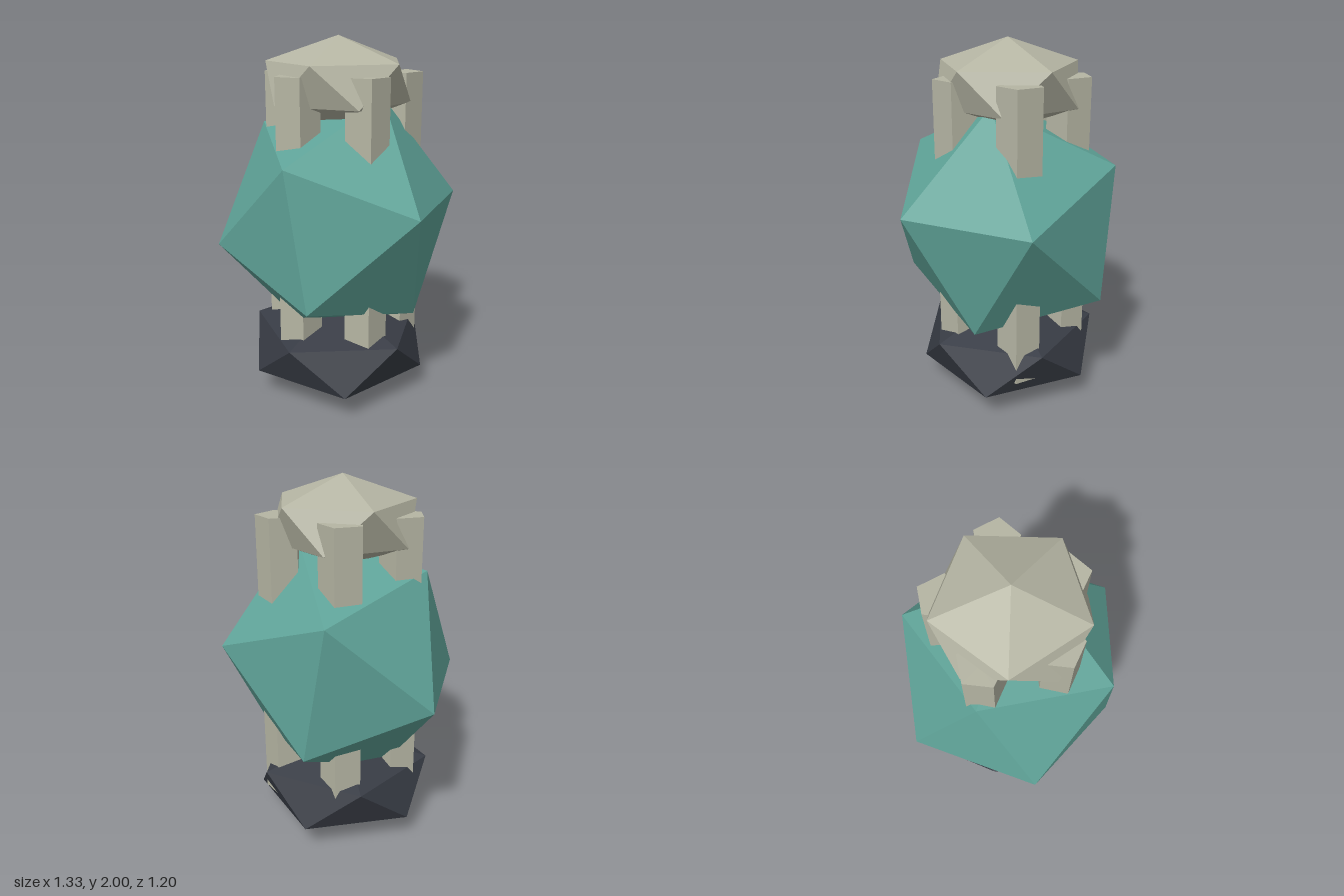
import * as THREE from 'three';
import { ConvexGeometry } from 'three/addons/geometries/ConvexGeometry.js';

const material = (name, color) => {
  const m = new THREE.MeshStandardMaterial({ color, flatShading: true });
  m.name = name;
  return m;
};

// Upright squashed icosahedron: two poles and two staggered rings of five
function uprightIcosahedron(ringRadius, halfHeight, turnDegrees) {
  const points = [new THREE.Vector3(0, halfHeight, 0), new THREE.Vector3(0, -halfHeight, 0)];
  for (let i = 0; i < 10; i++) {
    const a = THREE.MathUtils.degToRad(turnDegrees + i * 36);
    const y = (i % 2 ? -1 : 1) * halfHeight / Math.sqrt(5);
    points.push(new THREE.Vector3(ringRadius * Math.sin(a), y, ringRadius * Math.cos(a)));
  }
  return new ConvexGeometry(points);
}

// Tilted icosahedron: six corners, each mirrored through the centre
function tiltedIcosahedron() {
  const corners = [
    [0.218, 0.671, 0.124], [-0.35, 0.382, 0.45], [0.297, 0.137, 0.598],
    [0.667, 0.122, 0.0], [-0.254, -0.35, 0.527], [0.381, -0.509, 0.245],
  ].map((c) => new THREE.Vector3(...c));
  return new ConvexGeometry([...corners, ...corners.map((c) => c.clone().negate())]);
}

export function createModel() {
  const group = new THREE.Group();
  const teal = material('teal', 0x5fa398);
  const stone = material('pale stone', 0xb5b5a3);
  const slate = material('dark slate', 0x383c45);

  const add = (name, geometry, mat, x, y, z) => {
    const mesh = new THREE.Mesh(geometry, mat);
    mesh.name = name;
    mesh.position.set(x, y, z);
    group.add(mesh);
  };

  // Three stacked gem shapes
  add('base', uprightIcosahedron(0.49, 0.263, 30), slate, 0, 0.267, 0);
  add('body', tiltedIcosahedron(), teal, 0, 1.013, 0);
  add('cap', uprightIcosahedron(0.386, 0.238, 41), stone, 0, 1.762, 0);

  // Five-sided posts running through all three
  const post = new THREE.CylinderGeometry(0.12, 0.12, 1.59, 5);
  const spots = [[0.092, 0.28], [0.34, -0.003], [0.098, -0.308], [-0.262, -0.189], [-0.243, 0.174]];
  for (const [x, z] of spots) add('post', post, stone, x, 1.015, z);

  return group;
}
